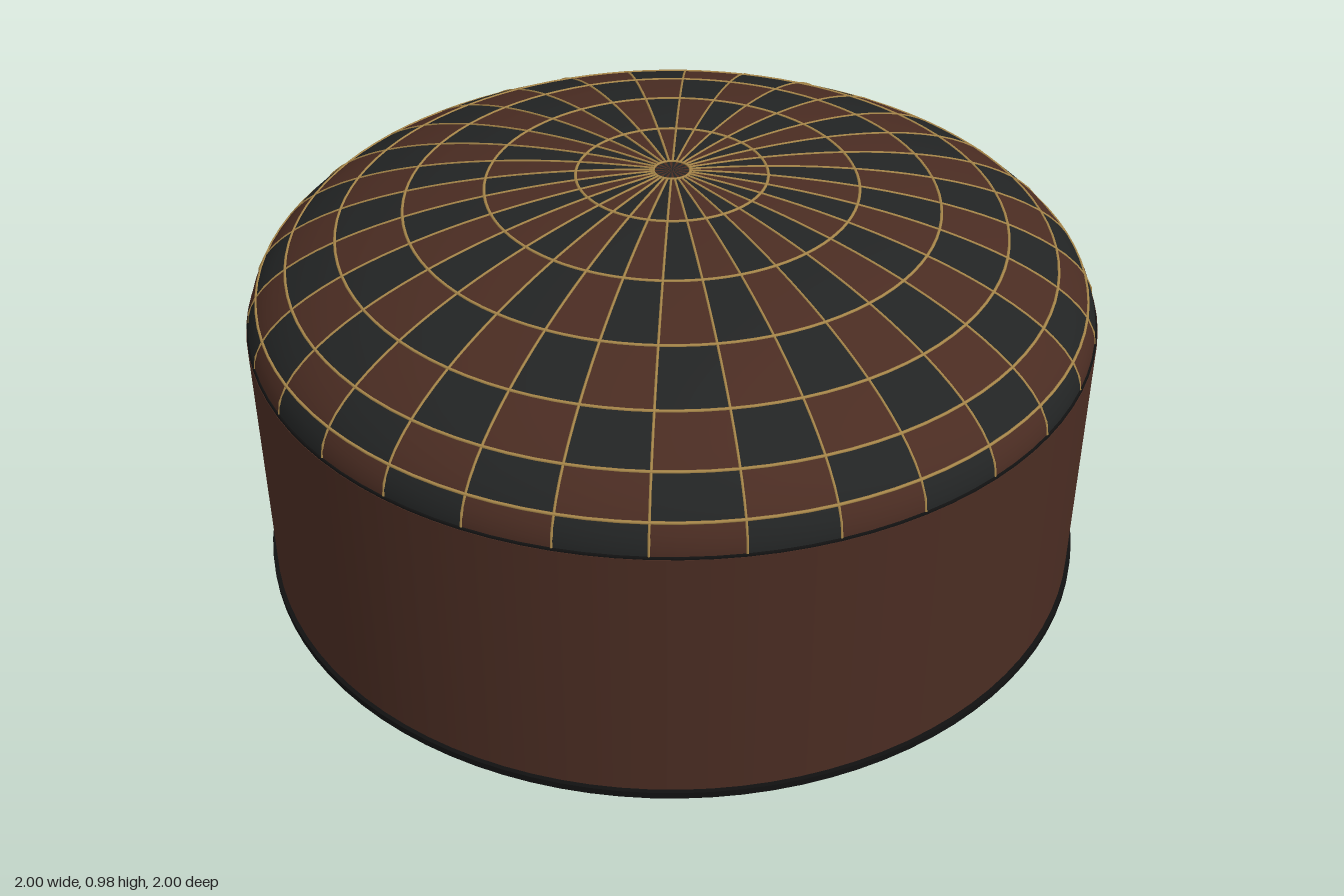
import * as THREE from 'three';
import { mergeGeometries } from 'three/addons/utils/BufferGeometryUtils.js';

const mat = (name, color) => {
  const m = new THREE.MeshStandardMaterial({ color });
  m.name = name;
  return m;
};

export function createModel() {
  const brown = mat('brown leather', 0x4a2c22);
  const dark = mat('charcoal leather', 0x222424);
  const black = mat('black base', 0x111111);
  const gold = mat('gold piping', 0xa8874a);

  const group = new THREE.Group();
  const add = (name, geo, material, y = 0) => {
    const mesh = new THREE.Mesh(geo, material);
    mesh.name = name;
    mesh.position.y = y;
    group.add(mesh);
    return mesh;
  };

  // Drum body, base flange and foot pad
  add('body', new THREE.CylinderGeometry(0.99, 0.99, 0.63, 96), brown, 0.345);
  add('baseFlange', new THREE.CylinderGeometry(1, 1, 0.016, 96), black, 0.022);
  add('footPad', new THREE.CylinderGeometry(0.465, 0.465, 0.016, 64), black, 0.008);

  const ring = (radius, tube) =>
    new THREE.TorusGeometry(radius, tube, 6, 96).rotateX(Math.PI / 2);
  add('footRing', ring(0.465, 0.003), gold, 0.004);
  add('rimRing', ring(0.984, 0.005), black, 0.66);

  // Chequered dome: half an ellipsoid in bands and sectors
  const BANDS = 7, SECTORS = 32;
  const R = 0.985, H = 0.324, Y0 = 0.657;
  const dTheta = Math.PI / 2 / BANDS, dPhi = (Math.PI * 2) / SECTORS;
  const cells = [[], []];
  for (let j = 0; j < BANDS; j++) {
    for (let i = 0; i < SECTORS; i++) {
      cells[(i + j) % 2].push(new THREE.SphereGeometry(
        1, 3, 3, Math.PI / 2 + i * dPhi, dPhi, j * dTheta, dTheta));
    }
  }
  cells.forEach((list, k) => {
    const name = k ? 'domeDarkPanels' : 'domeBrownPanels';
    add(name, mergeGeometries(list), k ? dark : brown, Y0).scale.set(R, H, R);
  });

  // Gold piping around the bands
  const piping = [ring(0.042, 0.003).translate(0, H, 0)];
  for (let j = 1; j < BANDS; j++) {
    const t = j * dTheta;
    piping.push(ring(R * Math.sin(t), 0.0035).translate(0, H * Math.cos(t), 0));
  }
  add('ringPiping', mergeGeometries(piping), gold, Y0);

  // Gold piping between the sectors
  const arc = [];
  for (let k = 0; k <= 14; k++) {
    const t = 0.043 + (Math.PI / 2 - 0.043) * k / 14;
    arc.push(new THREE.Vector3(0, H * Math.cos(t), R * Math.sin(t)));
  }
  const rib = new THREE.TubeGeometry(new THREE.CatmullRomCurve3(arc), 28, 0.003, 5);
  const ribs = [];
  for (let i = 0; i < SECTORS; i++) ribs.push(rib.clone().rotateY(i * dPhi));
  add('sectorPiping', mergeGeometries(ribs), gold, Y0);

  return group;
}
